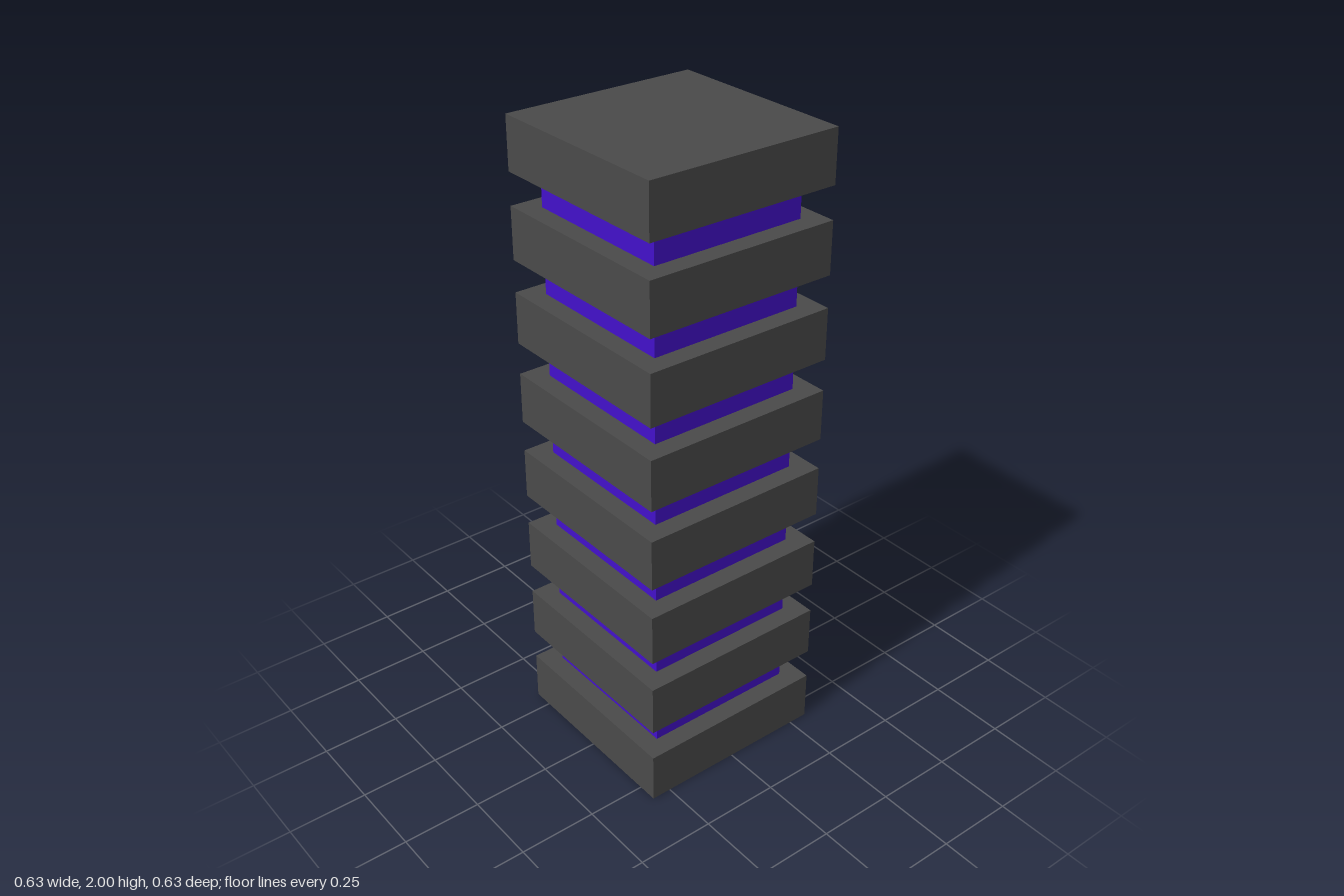
import * as THREE from 'three';

const SLABS = 8;
const SLAB_HEIGHT = 0.1625;
const PITCH = (2 - SLAB_HEIGHT) / (SLABS - 1);
const SLAB_WIDTH = 0.627;
const CORE_WIDTH = 0.502;

export function createModel() {
  const group = new THREE.Group();
  group.name = 'slabTower';

  const slabMaterial = new THREE.MeshStandardMaterial({ color: 0x4a4a4a });
  const coreMaterial = new THREE.MeshStandardMaterial({ color: 0x4411cc });

  const addBlock = (name, width, height, bottom, material) => {
    const mesh = new THREE.Mesh(new THREE.BoxGeometry(width, height, width), material);
    mesh.name = name;
    mesh.position.y = bottom + height / 2;
    group.add(mesh);
  };

  for (let i = 0; i < SLABS; i++) {
    // Wide dark slab
    addBlock(`slab${i + 1}`, SLAB_WIDTH, SLAB_HEIGHT, i * PITCH, slabMaterial);
    // Narrower coloured spacer filling the gap to the next slab
    if (i < SLABS - 1) {
      addBlock(`spacer${i + 1}`, CORE_WIDTH, PITCH - SLAB_HEIGHT, i * PITCH + SLAB_HEIGHT, coreMaterial);
    }
  }
  return group;
}
